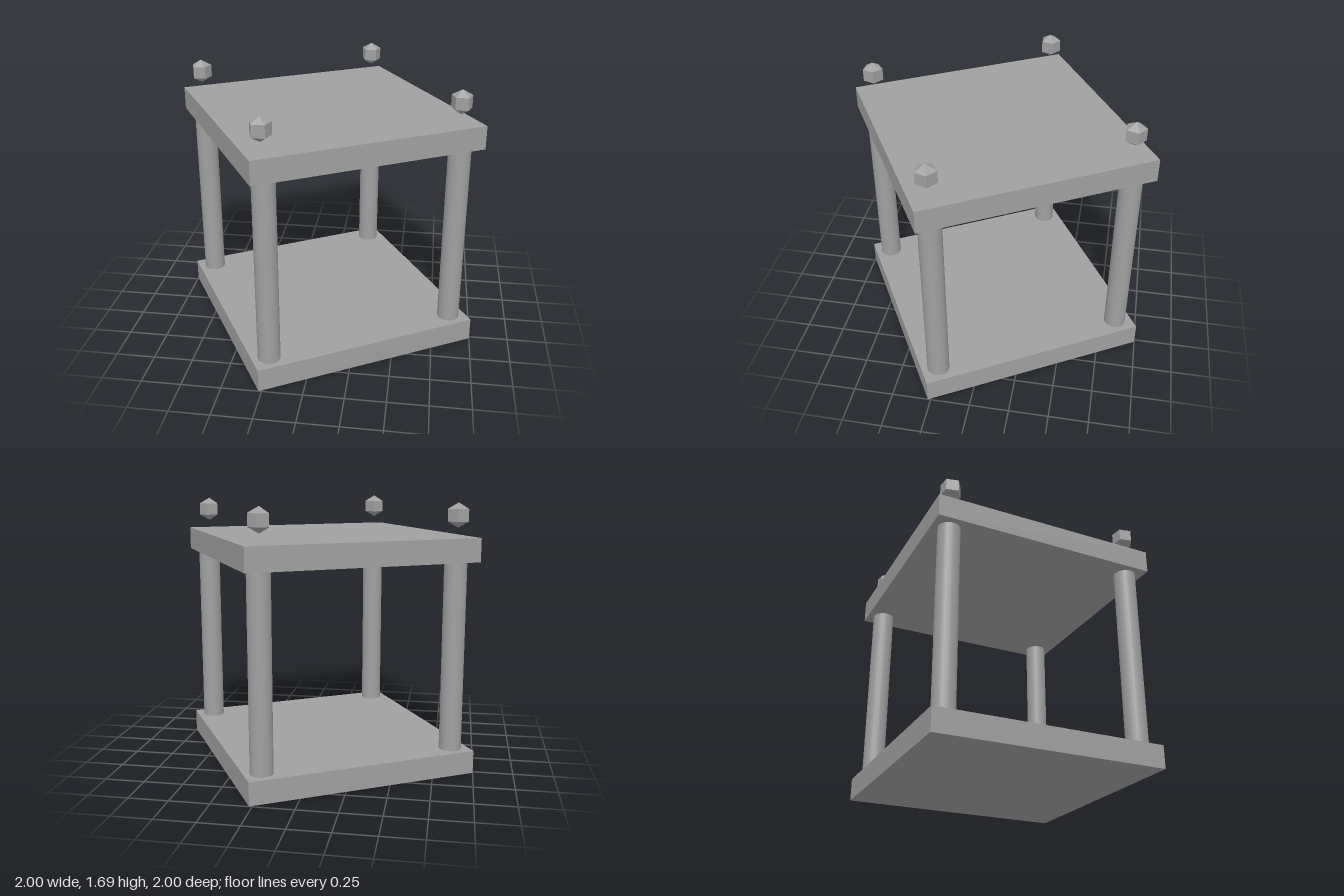
import * as THREE from 'three';

export function createModel() {
  const model = new THREE.Group();
  model.name = 'pavilion';
  const stone = new THREE.MeshStandardMaterial({ color: 0xa0a0a0 });
  stone.name = 'grey stone';

  const turn = Math.PI / 6;   // the square plan is turned about y
  const side = 1.464;
  const thick = 0.146;
  const roofBottom = 1.34;
  const inset = 0.623;        // pillar distance from the centre lines

  function add(name, geometry, x, y, z, parent = model) {
    const mesh = new THREE.Mesh(geometry, stone);
    mesh.name = name;
    mesh.position.set(x, y, z);
    parent.add(mesh);
    return mesh;
  }

  // Floor and roof slabs
  const slab = new THREE.BoxGeometry(side, thick, side);
  add('floorSlab', slab, 0, thick / 2, 0).rotation.y = turn;
  add('roofSlab', slab, 0, roofBottom + thick / 2, 0).rotation.y = turn;

  // Round pillars, and faceted finials hovering above the roof corners
  const pillarHeight = roofBottom - thick;
  const pillar = new THREE.CylinderGeometry(0.07, 0.07, pillarHeight, 20);
  const finial = new THREE.SphereGeometry(0.076, 5, 3).toNonIndexed();
  finial.computeVertexNormals();
  finial.rotateY(-Math.PI / 2);

  const corners = new THREE.Group();
  corners.name = 'corners';
  model.add(corners);
  for (const sx of [-1, 1]) {
    for (const sz of [-1, 1]) {
      const p = new THREE.Vector3(sx * inset, 0, sz * inset);
      p.applyAxisAngle(new THREE.Vector3(0, 1, 0), turn);
      add('pillar', pillar, p.x, thick + pillarHeight / 2, p.z, corners);
      add('finial', finial, p.x - 0.007, 1.618, p.z + 0.006, corners);
    }
  }
  return model;
}
